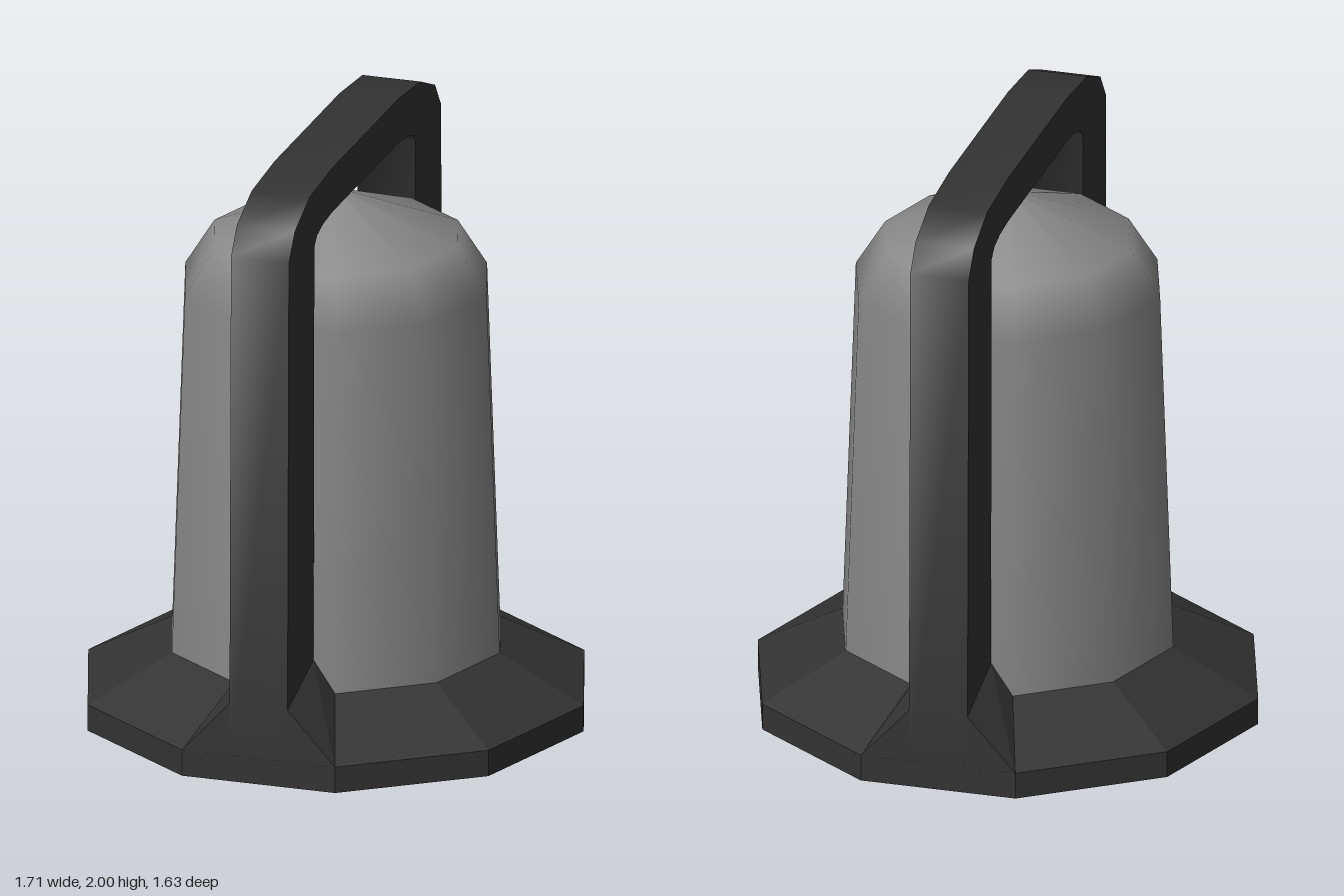
import * as THREE from 'three';
import { toCreasedNormals } from 'three/addons/utils/BufferGeometryUtils.js';
import { ConvexGeometry } from 'three/addons/geometries/ConvexGeometry.js';

const SIDES = 10;
const dark = new THREE.MeshStandardMaterial({ color: 0x333333 });
const darkFlat = new THREE.MeshStandardMaterial({ color: 0x333333, flatShading: true });
const grey = new THREE.MeshStandardMaterial({ color: 0x888888 });

// Ten-sided turned body with corners on the x axis
function turned(profile) {
  const points = profile.map(([r, y]) => new THREE.Vector2(r, y));
  return new THREE.LatheGeometry(points, SIDES, Math.PI / SIDES);
}

function add(group, name, geometry, material) {
  const mesh = new THREE.Mesh(geometry, material);
  mesh.name = name;
  group.add(mesh);
  return mesh;
}

export function createModel() {
  const group = new THREE.Group();

  // Flared foot plate
  add(group, 'base', turned([[0, 0], [0.855, 0], [0.855, 0.09], [0.565, 0.24], [0, 0.24]]), darkFlat);

  // Tapered body with a shallow pointed roof
  add(group, 'dome', turned([[0.565, 0.24], [0.52, 1.48], [0.42, 1.64], [0, 1.8]]), grey);

  // Arched guard bar running front to back over the dome
  const outer = [[0.813, 0.09], [0.797, 1.825], [0.734, 1.915], [0.58, 1.98], [0.34, 2]];
  const inner = [[0.34, 1.846], [0.436, 1.838], [0.5, 1.82], [0.53, 1.79], [0.54, 0.09]];
  const mirror = (pts) => pts.map(([z, y]) => [-z, y]).reverse();
  const outline = [...outer, ...mirror(outer), ...mirror(inner), ...inner];
  const shape = new THREE.Shape(outline.map(([z, y]) => new THREE.Vector2(z, y)));
  const bar = new THREE.ExtrudeGeometry(shape, { depth: 0.2, bevelEnabled: false });
  bar.translate(0, 0, -0.1).rotateY(Math.PI / 2);
  add(group, 'guardBar', toCreasedNormals(bar, 0.9), dark);

  // Sloped gussets where the bar meets the foot
  for (const s of [1, -1]) {
    const corners = [];
    for (const x of [1, -1]) {
      corners.push(
        new THREE.Vector3(0.264 * x, 0.09, 0.813 * s),
        new THREE.Vector3(0.1 * x, 0.27, 0.811 * s),
        new THREE.Vector3(0.174 * x, 0.24, 0.537 * s),
        new THREE.Vector3(0.1 * x, 0.35, 0.539 * s)
      );
    }
    add(group, s > 0 ? 'frontGusset' : 'backGusset', new ConvexGeometry(corners), darkFlat);
  }

  return group;
}
